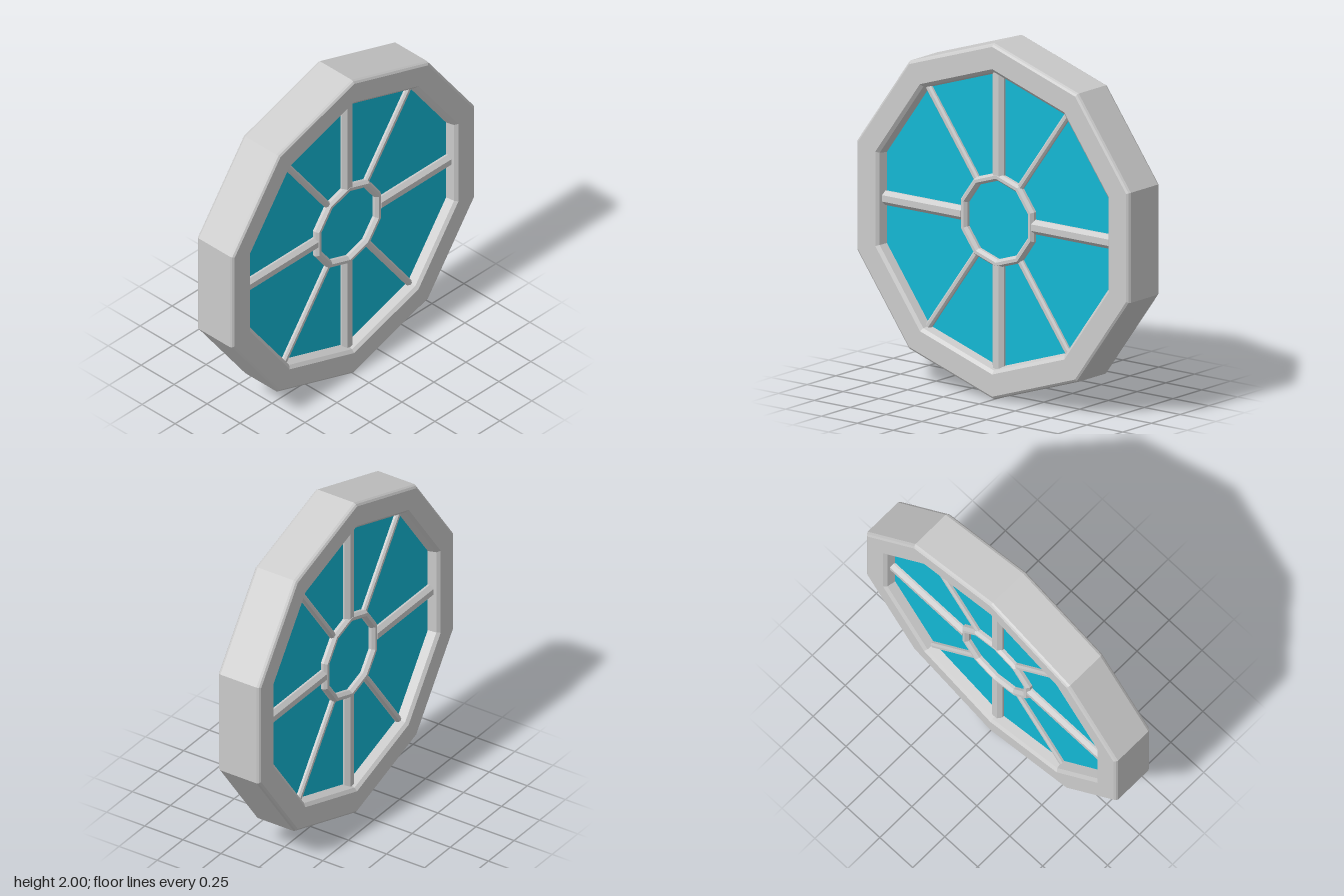
import * as THREE from 'three';

const SIDES = 10;
const grey = new THREE.MeshStandardMaterial({ color: 0xcccccc, flatShading: true });
const blue = new THREE.MeshStandardMaterial({ color: 0x13b8d4, flatShading: true });

// Turn a geometry made around y so its axis is x and a corner points up
const faceSide = (geometry) => geometry.rotateZ(-Math.PI / 2).rotateX(Math.PI / 2);

// Ten-sided ring from a half profile of [radius, depth], mirrored across the middle
function ring(half) {
  const mirrored = half.map(([r, d]) => [r, -d]).reverse();
  const points = [...mirrored, ...half].map(([r, d]) => new THREE.Vector2(r, d));
  points.push(points[0].clone());
  return faceSide(new THREE.LatheGeometry(points, SIDES));
}

// Chamfered bar running up y from one radius to another; w is half width, d half depth
function bar(w, d, from, to) {
  const c = w * 0.55;
  const corners = [[d, -w + c], [d, w - c], [d - c, w], [c - d, w],
    [-d, w - c], [-d, c - w], [c - d, -w], [d - c, -w]];
  const shape = new THREE.Shape(corners.map(([x, z]) => new THREE.Vector2(x, z)));
  return new THREE.ExtrudeGeometry(shape, { depth: to - from, bevelEnabled: false })
    .translate(0, 0, from).rotateX(-Math.PI / 2);
}

export function createModel() {
  const group = new THREE.Group();
  const add = (name, geometry, material = grey) => {
    const mesh = new THREE.Mesh(geometry, material);
    mesh.name = name;
    mesh.position.y = 1;
    group.add(mesh);
    return mesh;
  };

  // Outer frame with softened outer edges and a stepped inner chamfer
  add('frame', ring([
    [1, 0.118], [0.994, 0.13], [0.982, 0.138],
    [0.857, 0.138], [0.838, 0.122], [0.826, 0.07],
  ]));

  // Thick glass pane
  add('glass', faceSide(new THREE.CylinderGeometry(0.835, 0.835, 0.145, SIDES)), blue);

  // Small ring in the middle
  add('hubRing', ring([[0.268, 0.09], [0.254, 0.108], [0.236, 0.108], [0.221, 0.09]]));

  // Wide spokes up, down and to the sides
  for (let i = 0; i < 4; i++) {
    const reach = i % 2 ? 0.795 : 0.832;
    const spoke = add('wideSpoke', bar(0.04, 0.106, 0.245, reach));
    spoke.rotation.x = i * Math.PI / 2;
  }

  // Thin diagonal spokes running to the frame corners
  for (const step of [1, 4, 6, 9]) {
    const spoke = add('thinSpoke', bar(0.019, 0.096, 0.245, 0.835));
    spoke.rotation.x = step * Math.PI / 5;
  }
  return group;
}
